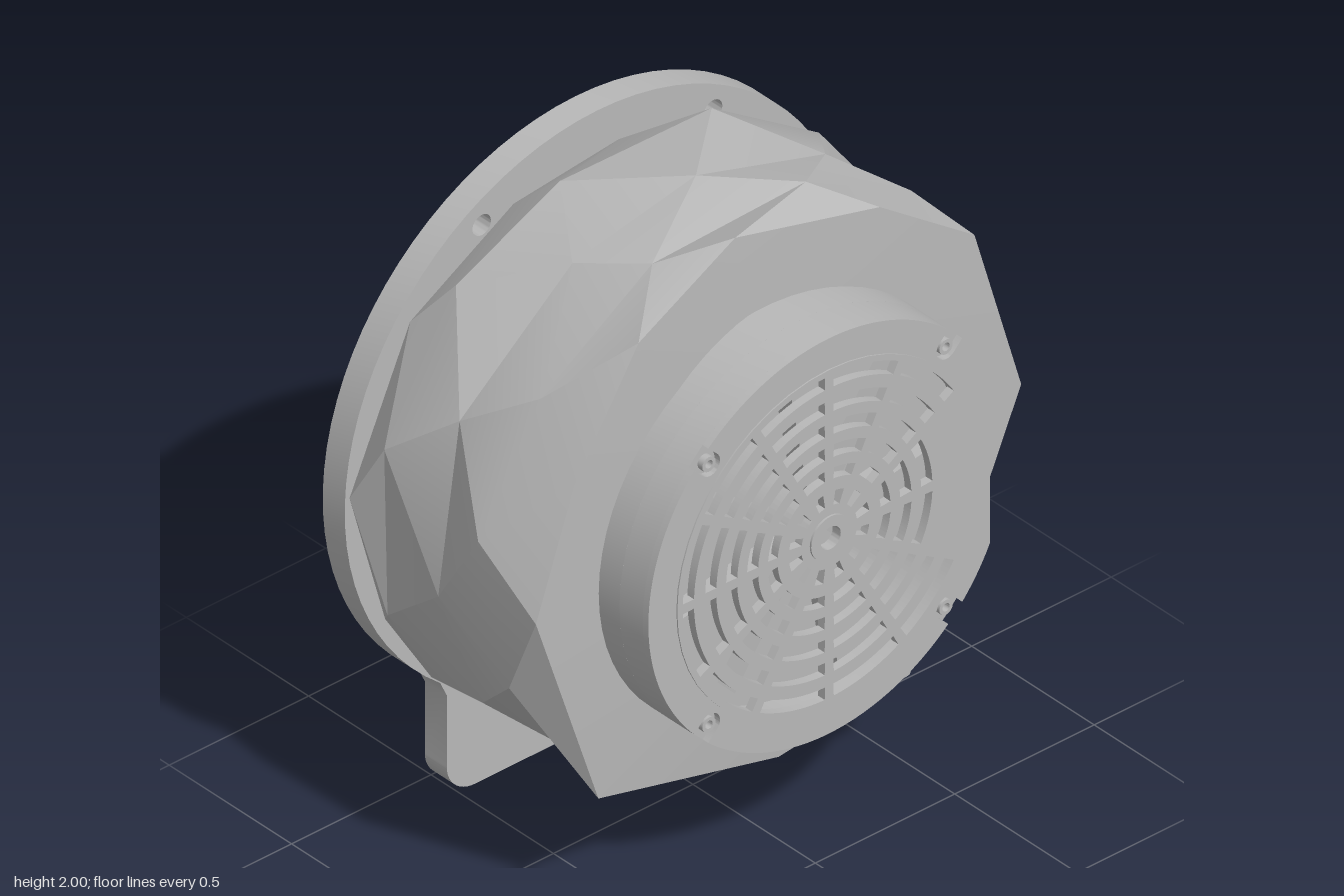
import * as THREE from 'three';
import { toCreasedNormals } from 'three/addons/utils/BufferGeometryUtils.js';

const grey = new THREE.MeshStandardMaterial({ color: 0xb8b8b8 });
grey.name = 'castGrey';
const CY = 1.094; // height of the main axis
const R = 0.906; // flange radius
const rad = THREE.MathUtils.degToRad;

let seed = 7;
const jitter = (amount) => {
  seed = (seed * 16807) % 2147483647;
  return (seed / 2147483647 - 0.5) * 2 * amount;
};

export function createModel() {
  const model = new THREE.Group();
  const axis = new THREE.Group();
  axis.name = 'blower';
  axis.position.y = CY;
  model.add(axis);

  const add = (name, geometry, x = 0, y = 0, z = 0, crease = 0.5) => {
    const mesh = new THREE.Mesh(toCreasedNormals(geometry, crease), grey);
    mesh.name = name;
    mesh.position.set(x, y, z);
    axis.add(mesh);
    return mesh;
  };
  // extrude a flat shape between two depths
  const slab = (name, shape, z0, z1, curveSegments = 24) =>
    add(name, new THREE.ExtrudeGeometry(shape, { depth: z1 - z0, bevelEnabled: false, curveSegments }), 0, 0, z0);
  const circle = (r, x = 0, y = 0, Type = THREE.Path) => new Type().absarc(x, y, r, 0, Math.PI * 2, false);

  // skin rings of [x, y, z] running from front to back, with an optional front cap
  const loft = (rings, frontZ) => {
    const pos = [];
    const n = rings[0].length;
    const tri = (...p) => p.forEach((v) => pos.push(...v));
    for (let i = 0; i < n; i++) {
      const j = (i + 1) % n;
      for (let k = 0; k < rings.length - 1; k++) {
        const [a, b, c, d] = [rings[k][i], rings[k][j], rings[k + 1][i], rings[k + 1][j]];
        tri(a, c, b);
        tri(b, c, d);
      }
      if (frontZ !== undefined) tri([0, 0, frontZ], rings[0][i], rings[0][j]);
    }
    const g = new THREE.BufferGeometry();
    g.setAttribute('position', new THREE.Float32BufferAttribute(pos, 3));
    return g;
  };
  const polar = (deg, r, z) => [r * Math.cos(rad(deg)), r * Math.sin(rad(deg)), z];

  // faceted housing: irregular front rim, then twisted uneven rings, drawn in at the back above and below
  const rim = [
    [0, 0.87, 0.35], [38.7, 0.9, 0.35], [65, 0.88, 0.34], [97.6, 0.912, 0.31], [123.7, 0.905, 0.35], [152, 0.83, 0.35],
    [180, 0.87, 0.35], [226, 0.93, 0.35], [274.5, 0.9, 0.27], [301.4, 0.9, 0.35], [330, 0.8, 0.35],
  ];
  const rings = [rim.map((p) => polar(...p))];
  [0.18, -0.02, -0.3, -0.39].forEach((z, k) => {
    rings.push(rim.map((p, i) => {
      const even = (i * 360) / rim.length + 5;
      const deg = THREE.MathUtils.lerp(p[0], even, (k + 1) / 4) + 11 * (k + 1) + jitter(5);
      const s = Math.sin(rad(deg));
      if (k === 3) return polar(deg, 0.89 - 0.11 * s * s, z);
      return polar(deg, 0.9 + jitter(0.012), z + (k === 2 ? 0.04 * s + jitter(0.02) : jitter(0.05)));
    }));
  });
  add('housing', loft(rings, 0.35), 0, 0, 0, 0.3);

  // flange ring with mounting foot
  const flange = new THREE.Shape();
  flange.moveTo(-0.44, -CY).lineTo(0.44, -CY);
  flange.absarc(0.44, 0.1 - CY, 0.1, -Math.PI / 2, 0, false);
  flange.lineTo(0.54, -0.76);
  flange.absarc(0, 0, R, rad(-51.5), rad(231.5), false);
  flange.lineTo(-0.54, -0.76).lineTo(-0.54, 0.1 - CY);
  flange.absarc(-0.44, 0.1 - CY, 0.1, Math.PI, Math.PI * 1.5, false);
  flange.holes.push(circle(0.755), circle(0.03, 0, 0.055 - CY), circle(0.03, 0.36, 0.055 - CY));
  for (let i = 0; i < 6; i++) {
    const [x, y] = polar(i * 60, 0.83, 0);
    flange.holes.push(circle(0.033, x, y));
  }
  slab('flangeWithFoot', flange, -0.48, -0.39, 32);

  // domed back cover with an uneven five-sided recess that closes in a V
  const domeRing = (r, z) => Array.from({ length: 15 }, (_, i) => polar(i * 24 + 72, r, z));
  const corners = [[0.07, 0.21], [-0.21, 0.21], [-0.2, -0.2], [0.11, -0.23], [0.27, -0.1]];
  const recess = corners.flatMap(([x, y], i) => {
    const [nx, ny] = corners[(i + 1) % 5];
    return [0, 1 / 3, 2 / 3].map((t) => [x + (nx - x) * t, y + (ny - y) * t, -0.553]);
  });
  const dome = [
    domeRing(0.755, -0.41), domeRing(0.68, -0.49), domeRing(0.52, -0.528), domeRing(0.37, -0.55),
    recess, recess.map(([x]) => [x * 0.95, -0.1, -0.38]),
  ];
  add('backCover', loft(dome), 0, 0, 0, 0.45);
  for (let i = 0; i < 6; i++) {
    const [x, y] = polar(i * 60, 0.29, 0);
    const boss = circle(0.042, x, y, THREE.Shape);
    boss.holes.push(circle(0.033, x, y));
    slab('backBoltRing', boss, -0.562, -0.53, 10);
    const bolt = add('backBolt', new THREE.CylinderGeometry(0.034, 0.034, 0.03, 16), x, y, -0.541);
    bolt.rotation.x = Math.PI / 2;
  }

  // motor cover: round base, then a shell with one flat side
  slab('motorBase', circle(0.645, 0, 0, THREE.Shape), 0.28, 0.435, 32);
  const flat = Math.acos(0.58 / 0.645);
  const shell = new THREE.Shape().absarc(0, 0, 0.645, flat, Math.PI * 2 - flat, false);
  shell.holes.push(circle(0.56));
  slab('motorShell', shell, 0.435, 0.53, 32);

  // front rim, notched around each of the four screws
  const face = new THREE.Shape();
  let start = flat;
  for (const deg of [45, 135, 225, 315]) {
    const a = rad(deg), w = 0.055;
    face.absarc(0, 0, 0.645, start, a - w, false);
    face.absarc(0.6 * Math.cos(a), 0.6 * Math.sin(a), 0.036, a - Math.PI / 2, a - Math.PI * 1.5, true);
    start = a + w;
  }
  face.absarc(0, 0, 0.645, start, Math.PI * 2 - flat, false);
  face.holes.push(circle(0.545));
  slab('motorFrontRim', face, 0.53, 0.553);
  for (const sx of [-1, 1]) for (const sy of [-1, 1]) {
    const screw = circle(0.024, 0.425 * sx, 0.425 * sy, THREE.Shape);
    screw.holes.push(circle(0.013, 0.425 * sx, 0.425 * sy));
    slab('coverScrew', screw, 0.53, 0.55, 8);
  }

  // grille: rows of curved slots between twelve spokes, shorter on one side
  const grille = circle(0.545, 0, 0, THREE.Shape);
  grille.holes.push(circle(0.036));
  const rows = [[0.1, 0.145], [0.185, 0.22], [0.255, 0.295], [0.33, 0.37], [0.405, 0.445], [0.485, 0.525]];
  for (let s = 0; s < 12; s++) {
    const count = s === 0 || s === 11 ? 4 : 6;
    for (const [r0, r1] of rows.slice(0, count)) {
      const gap = 0.015 / r0;
      const a0 = rad(s * 30) + gap, a1 = rad(s * 30 + 30) - gap;
      const slot = new THREE.Path().absarc(0, 0, r1, a0, a1, false);
      slot.absarc(0, 0, r0, a1, a0, true);
      slot.closePath();
      grille.holes.push(slot);
    }
  }
  slab('grille', grille, 0.53, 0.557);
  const hub = circle(0.07, 0, 0, THREE.Shape);
  hub.holes.push(circle(0.036));
  slab('grilleHub', hub, 0.55, 0.563);

  // fan blades behind the grille
  for (let i = 0; i < 8; i++) {
    const [x, y] = polar(i * 45 + 10, 0.3, 0);
    const blade = add('fanBlade', new THREE.BoxGeometry(0.4, 0.015, 0.07), x, y, 0.47);
    blade.rotation.z = rad(i * 45 + 10);
  }

  // connector panel on the flat side
  add('connectorPanel', new THREE.BoxGeometry(0.012, 0.52, 0.08), 0.58, 0, 0.48);
  add('connectorStep', new THREE.BoxGeometry(0.014, 0.24, 0.03), 0.584, 0.1, 0.495);
  add('connectorTab', new THREE.BoxGeometry(0.01, 0.07, 0.045), 0.643, 0, 0.413);
  return model;
}
